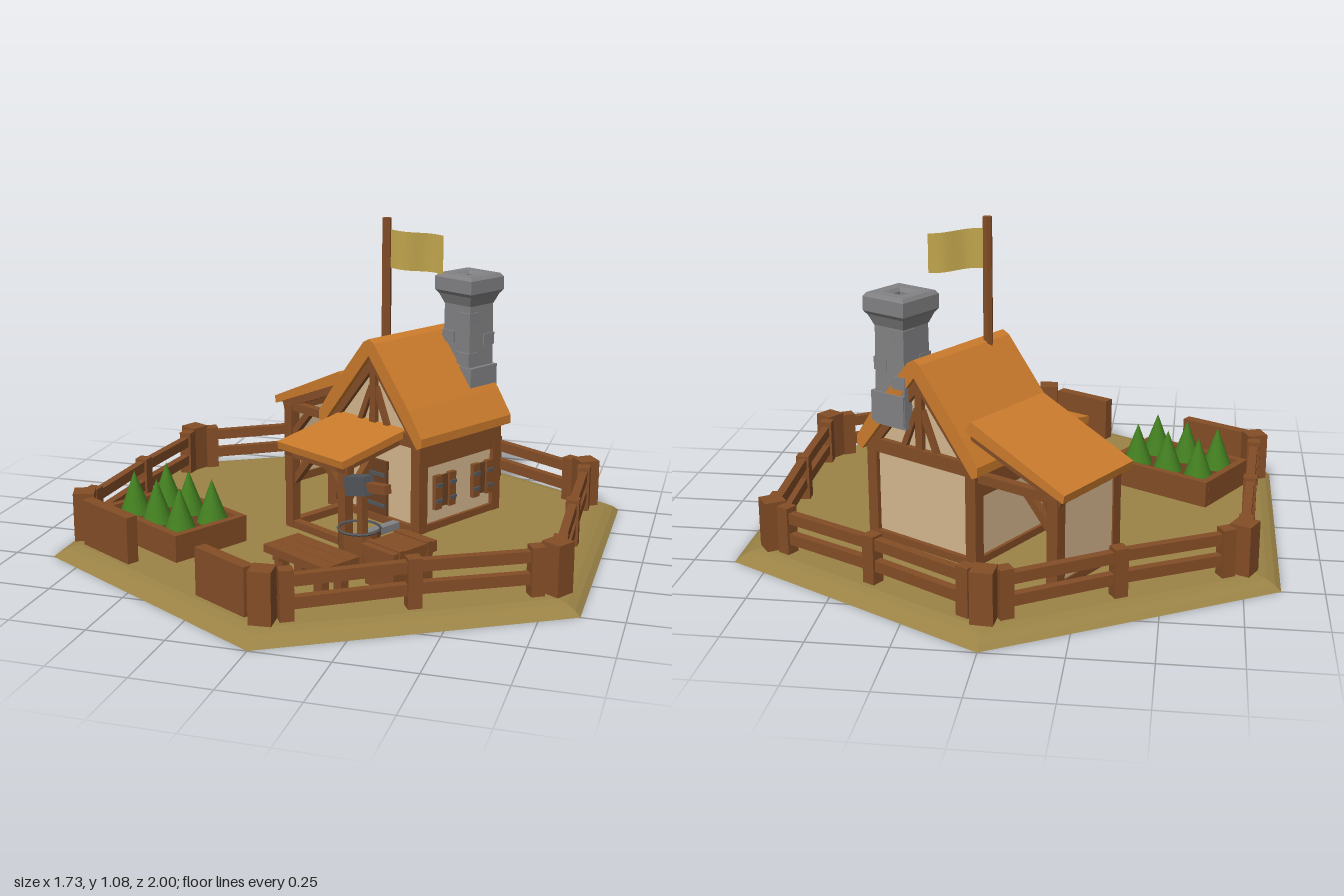
import * as THREE from 'three';

const material = (name, color, flatShading = true, side = THREE.FrontSide) => {
  const m = new THREE.MeshStandardMaterial({ color, side, flatShading });
  m.name = name;
  return m;
};

export function createModel() {
  const earth = material('earth', 0x9b8346, true, THREE.DoubleSide), wood = material('wood', 0x834d26);
  const darkWood = material('dark wood', 0x6b4021), thatch = material('roof orange', 0xcb7b2c);
  const plaster = material('plaster', 0xd5b78e), stone = material('stone', 0x828284);
  const iron = material('iron', 0x52575c), leaf = material('leaf green', 0x437f20, false);
  const cloth = material('flag cloth', 0xc0a44c, false, THREE.DoubleSide);
  const GROUND = 0.035, FOOT = 0.02, TURN = -Math.PI / 6;
  const root = new THREE.Group();
  root.name = 'homestead';

  const group = (name, x = 0, z = 0, ry = 0, parent = root) => {
    const g = new THREE.Group();
    g.name = name;
    g.position.set(x, 0, z);
    g.rotation.y = ry;
    parent.add(g);
    return g;
  };
  const add = (parent, name, geometry, mat, x = 0, y = 0, z = 0) => {
    const m = new THREE.Mesh(geometry, mat);
    m.name = name;
    m.position.set(x, y, z);
    parent.add(m);
    return m;
  };
  // box given by its size, its centre and its bottom height
  const box = (parent, name, mat, w, h, d, x, y0, z) =>
    add(parent, name, new THREE.BoxGeometry(w, h, d), mat, x, y0 + h / 2, z);
  // box sunk into the ground and reaching up to a given height
  const planted = (parent, name, mat, w, top, d, x, z) =>
    box(parent, name, mat, w, top - FOOT, d, x, FOOT, z);
  // beam between two points, in the parent's own frame
  const beam = (parent, name, mat, a, b, t, t2 = t) => {
    const p = new THREE.Vector3(...a), q = new THREE.Vector3(...b);
    const m = add(parent, name, new THREE.BoxGeometry(t, t2, p.distanceTo(q)), mat);
    m.position.copy(p).add(q).multiplyScalar(0.5);
    const up = new THREE.Vector3(0, 1, 0);
    m.quaternion.setFromRotationMatrix(new THREE.Matrix4().lookAt(q, p, up));
    return m;
  };
  // outline in x,y pushed along z, centred on z = 0
  const prism = (points, depth) => new THREE.ExtrudeGeometry(
    new THREE.Shape(points.map(p => new THREE.Vector2(...p))),
    { depth, bevelEnabled: false }).translate(0, 0, -depth / 2);

  // ground shell with a rounded rim, open below
  add(root, 'ground', new THREE.LatheGeometry([[1, 0], [0.98, 0.015], [0.95, 0.028], [0.915, GROUND], [0, GROUND]]
    .map(p => new THREE.Vector2(...p)), 6), earth);

  // fence: corner posts, railed sides and a boarded side with a gap
  const fence = group('fence');
  const corners = [[-0.8, 0.39], [-0.75, -0.44], [0, -0.87], [0.75, -0.44], [0.78, 0.41], [0, 0.87]];
  corners.forEach(([x, z], i) => {
    const p = box(fence, 'cornerPost', wood, 0.07, 0.165, 0.07, x, GROUND, z);
    p.rotation.y = Math.atan2(x, z) + (i % 2 ? 0.08 : -0.08);
    if (i === 5) return;
    const [x2, z2] = corners[i + 1];
    const at = (t, y) => [x + (x2 - x) * t, y, z + (z2 - z) * t];
    for (const y of [0.09, 0.16]) {
      beam(fence, 'rail', wood, at(0.05, y), at(0.5, y + 0.006), 0.028, 0.036);
      beam(fence, 'rail', wood, at(0.5, y + 0.004), at(0.95, y - 0.004), 0.028, 0.036);
    }
    for (const t of [0.075, 0.5, 0.925]) {
      const [px, , pz] = at(t, 0);
      planted(fence, 'fencePost', wood, 0.044, 0.192, 0.044, px, pz).rotation.y = Math.atan2(x2 - x, z2 - z);
    }
  });
  for (const [x, z, len] of [[-0.66, 0.495, 0.25], [-0.15, 0.785, 0.23]])
    planted(fence, 'boardWall', wood, len, 0.19, 0.04, x, z).rotation.y = TURN;

  // house body, half width along x, gables facing z
  const house = group('house', 0.17, -0.235, TURN);
  add(house, 'walls', prism([[-0.21, GROUND], [0.21, GROUND], [0.21, 0.36], [0, 0.615], [-0.21, 0.36]], 0.38), plaster);
  for (const sx of [-1, 1]) {
    for (const sz of [-1, 1])
      planted(house, 'cornerBeam', wood, 0.04, 0.355, 0.04, sx * 0.205, sz * 0.185);
    box(house, 'wallPlate', wood, 0.035, 0.085, 0.38, sx * 0.207, 0.265, 0);
    planted(house, 'sill', wood, 0.03, 0.06, 0.38, sx * 0.207, 0);
  }
  for (const s of [-1, 1]) {
    const z = s * 0.195;
    box(house, 'tieBeam', wood, 0.43, 0.045, 0.03, 0, 0.335, z);
    planted(house, 'sill', wood, 0.4, 0.06, 0.025, 0, z);
    box(house, 'kingPost', wood, 0.028, 0.22, 0.024, 0, 0.37, z);
    for (const sx of [-1, 1]) {
      beam(house, 'rafter', wood, [sx * 0.215, 0.35, z], [0, 0.605, z], 0.024, 0.04);
      beam(house, 'strut', wood, [sx * 0.07, 0.37, z], [sx * 0.01, 0.51, z], 0.02, 0.02);
    }
  }
  // door, and windows with a shutter on each side
  box(house, 'door', darkWood, 0.13, 0.22, 0.02, 0, GROUND, 0.192);
  for (const y of [0.09, 0.2]) box(house, 'doorStrap', iron, 0.12, 0.012, 0.006, 0, y, 0.205);
  for (const z of [0.075, -0.115]) {
    box(house, 'window', darkWood, 0.012, 0.11, 0.04, 0.212, 0.11, z);
    for (const s of [-1, 1]) {
      box(house, 'shutter', wood, 0.024, 0.12, 0.032, 0.214, 0.105, z + s * 0.034);
      for (const y of [0.13, 0.185]) box(house, 'shutterStrap', iron, 0.006, 0.012, 0.028, 0.229, y, z + s * 0.034);
    }
  }
  // main roof
  add(house, 'roof', prism([[0, 0.678], [-0.025, 0.665], [-0.19, 0.465], [-0.25, 0.38], [-0.25, 0.35], [-0.228, 0.34],
    [0, 0.62], [0.228, 0.34], [0.25, 0.35], [0.25, 0.38], [0.19, 0.465], [0.025, 0.665]], 0.45), thatch);

  // open lean-to with an end wall
  const shed = group('leanTo', 0, 0, 0, house);
  add(shed, 'leanToRoof', prism([[-0.565, 0.362], [-0.56, 0.335], [-0.2, 0.478], [-0.19, 0.488], [-0.215, 0.517]], 0.37), thatch, 0, 0, -0.025);
  planted(shed, 'endWall', plaster, 0.03, 0.335, 0.28, -0.51, -0.025);
  box(shed, 'wallPlate', wood, 0.045, 0.035, 0.33, -0.51, 0.315, -0.025);
  box(shed, 'sill', wood, 0.04, 0.03, 0.28, -0.51, GROUND, -0.025);
  for (const z of [-0.175, 0.125]) {
    planted(shed, 'shedPost', wood, 0.04, 0.335, 0.04, -0.51, z);
    box(shed, 'shedTie', wood, 0.3, 0.03, 0.03, -0.36, 0.315, z);
    beam(shed, 'shedRafter', wood, [-0.54, 0.328, z], [-0.2, 0.465, z], 0.03);
    beam(shed, 'shedBrace', wood, [-0.5, 0.22, z], [-0.4, 0.33, z], 0.024);
  }

  // porch with a low frame on the ground
  const porch = group('porch', 0, 0, 0, house);
  const porchRoof = new THREE.BoxGeometry(0.32, 0.026, 0.3);
  add(porch, 'porchRoof', porchRoof, thatch, -0.01, 0.35, 0.338).rotation.x = 0.17;
  box(porch, 'porchBeam', wood, 0.31, 0.03, 0.03, -0.01, 0.285, 0.445);
  planted(porch, 'floorFront', wood, 0.26, 0.06, 0.03, -0.01, 0.445);
  for (const [x, s, mat] of [[-0.14, 1, wood], [0.12, -1, stone]]) {
    planted(porch, 'floorSide', mat, 0.03, 0.06, 0.23, x, 0.32);
    planted(porch, 'porchPost', wood, 0.035, 0.295, 0.035, x, 0.445);
    beam(porch, 'porchRafter', wood, [x, 0.305, 0.47], [x, 0.348, 0.2], 0.028);
    beam(porch, 'porchBrace', wood, [x, 0.19, 0.44], [x + s * 0.09, 0.295, 0.44], 0.024);
    beam(porch, 'porchBrace', wood, [x, 0.19, 0.44], [x, 0.31, 0.33], 0.024);
  }

  // chimney
  const chimney = group('chimney', 0.1, -0.163, 0, house);
  add(chimney, 'shaft', new THREE.CylinderGeometry(0.083, 0.088, 0.36, 4).rotateY(Math.PI / 4), stone, 0, 0.62, 0);
  box(chimney, 'footing', stone, 0.135, 0.1, 0.135, 0.008, 0.45, 0);
  for (const [x, y, z] of [[0.037, 0.56, 0.042], [-0.035, 0.63, 0.04], [0.036, 0.7, 0.038], [0.038, 0.62, -0.035],
    [-0.036, 0.72, -0.036], [-0.038, 0.57, -0.038]])
    box(chimney, 'jutStone', stone, 0.054, 0.042, 0.054, x, y, z);
  add(chimney, 'collar', new THREE.CylinderGeometry(0.108, 0.085, 0.04, 4).rotateY(Math.PI / 4), stone, 0, 0.785, 0);
  const square = (Type, r) => new Type([[-r, -r], [r, -r], [r, r], [-r, r]].map(p => new THREE.Vector2(...p)));
  const capShape = square(THREE.Shape, 0.075);
  capShape.holes.push(square(THREE.Path, 0.038));
  add(chimney, 'cap', new THREE.ExtrudeGeometry(capShape,
    { depth: 0.046, bevelSize: 0.009, bevelThickness: 0.012, bevelSegments: 1 }).rotateX(-Math.PI / 2), stone, 0, 0.812, 0);
  box(chimney, 'flue', iron, 0.07, 0.01, 0.07, 0, 0.825, 0);

  // flag
  const flag = group('flag', 0.092, -0.14);
  add(flag, 'flagPole', new THREE.CylinderGeometry(0.016, 0.017, 0.45, 6), wood, 0, 0.85, 0);
  const sheet = new THREE.PlaneGeometry(0.18, 0.13, 10, 1), pos = sheet.attributes.position;
  for (let i = 0; i < pos.count; i++) {
    const t = pos.getX(i) / 0.18 + 0.5;
    pos.setZ(i, 0.016 * Math.sin(t * 6) - 0.015 * t);
    pos.setY(i, pos.getY(i) - 0.018 * t);
  }
  sheet.computeVertexNormals();
  add(flag, 'flagCloth', sheet, cloth, 0.1, 0.972, 0);

  // planter with six little trees
  const planter = group('planter', -0.525, 0.29, TURN);
  box(planter, 'soil', darkWood, 0.36, 0.07, 0.25, 0, GROUND, 0);
  for (const s of [-1, 1]) {
    planted(planter, 'longBoard', wood, 0.41, 0.125, 0.025, 0, s * 0.133);
    planted(planter, 'shortBoard', wood, 0.025, 0.125, 0.25, s * 0.193, 0);
    for (const x of [-0.125, 0, 0.125])
      add(planter, 'tree', new THREE.ConeGeometry(0.053, 0.145, 14), leaf, x, 0.1775, s * 0.066);
  }

  // bench
  const bench = group('bench', 0.055, 0.585, TURN);
  for (const z of [-0.048, 0, 0.048]) box(bench, 'plank', wood, 0.28, 0.025, 0.046, 0, 0.13, z);
  for (const x of [-0.09, 0.09]) {
    box(bench, 'crossBar', wood, 0.03, 0.02, 0.13, x, 0.112, 0);
    for (const z of [-0.04, 0.04]) planted(bench, 'benchLeg', wood, 0.035, 0.125, 0.03, x, z);
  }

  // chest
  const chest = group('chest', 0.3, 0.465, TURN);
  box(chest, 'chestBody', wood, 0.125, 0.1, 0.17, 0, GROUND, 0);
  box(chest, 'chestLid', wood, 0.14, 0.035, 0.19, 0, 0.13, 0);
  for (const z of [-0.06, 0.06]) box(chest, 'chestBand', wood, 0.146, 0.045, 0.02, 0, 0.125, z);

  // open tub with hoops and a mallet
  const tub = group('tub', 0.16, 0.42, TURN);
  add(tub, 'tubSide', new THREE.CylinderGeometry(0.068, 0.064, 0.165, 14, 1, true), wood, 0, FOOT + 0.0825, 0);
  for (const y of [0.07, 0.18])
    add(tub, 'hoop', new THREE.TorusGeometry(0.067, 0.0045, 5, 16).rotateX(Math.PI / 2), iron, 0, y, 0);
  beam(tub, 'malletPost', wood, [0.02, GROUND, 0], [0.01, 0.3, 0], 0.024);
  beam(tub, 'malletHead', iron, [-0.045, 0.31, 0], [0.045, 0.33, 0], 0.045, 0.06);
  beam(tub, 'malletHandle', wood, [0.04, 0.325, 0], [0.125, 0.335, 0], 0.028);

  return root;
}
